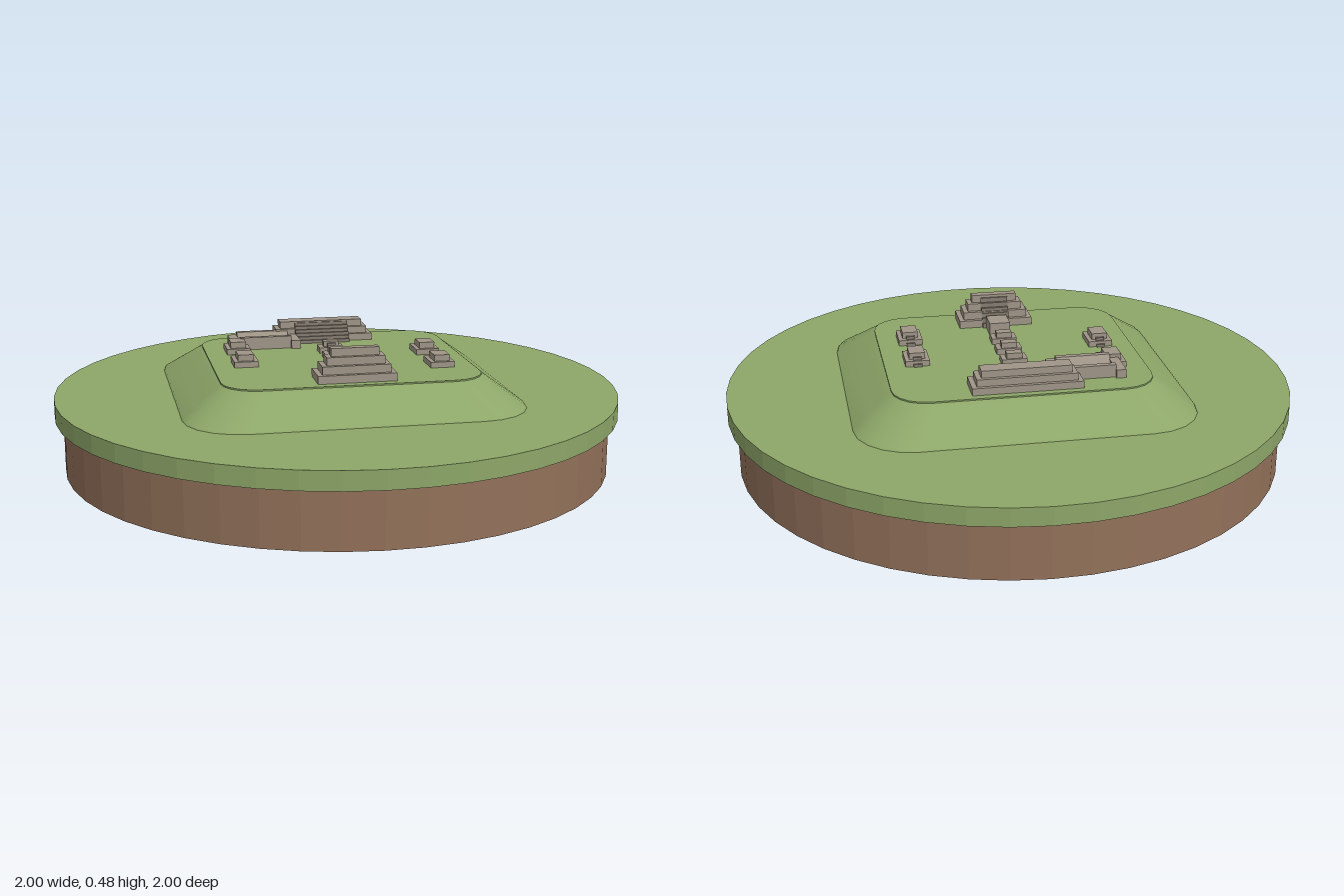
import * as THREE from 'three';

const material = (name, color) => Object.assign(new THREE.MeshStandardMaterial({ color }), { name });

export function createModel() {
  const grass = material('grass', 0x8da668);
  const earth = material('earth', 0x92715a);
  const stone = material('stone', 0x9f9587);
  const stairStone = material('stair stone', 0x857c70);

  const model = new THREE.Group();
  model.name = 'ruinsIsland';

  const add = (parent, geometry, mat, name, x = 0, y = 0, z = 0) => {
    const mesh = new THREE.Mesh(geometry, mat);
    mesh.name = name;
    mesh.position.set(x, y, z);
    parent.add(mesh);
    return mesh;
  };
  // Box given by its centre in plan and its bottom height
  const block = (parent, name, x, y, z, w, h, d, mat = stone) =>
    add(parent, new THREE.BoxGeometry(w, h, d), mat, name, x, y + h / 2, z);

  // Round island: faceted earth drum and wider grass slab
  const drum = (r, h) => {
    const g = new THREE.CylinderGeometry(r, r, h, 48).toNonIndexed();
    g.computeVertexNormals();
    return g;
  };
  add(model, drum(0.97, 0.2), earth, 'earthBase', 0, 0.1, 0);
  add(model, drum(1, 0.065), grass, 'grassSlab', 0, 0.2325, 0);

  // Everything on the plateau is turned 20 degrees
  const site = new THREE.Group();
  site.name = 'plateau';
  site.rotation.y = -THREE.MathUtils.degToRad(20);
  model.add(site);

  // Rounded rectangle as a loop of points
  const SEG = 5;
  const loop = (hx, hz, r) => {
    const pts = [];
    for (let q = 0; q < 4; q++) {
      const sx = q === 0 || q === 3 ? 1 : -1, sz = q < 2 ? 1 : -1;
      for (let i = 0; i <= SEG; i++) {
        const a = (q + i / SEG) * Math.PI / 2;
        pts.push([sx * (hx - r) + r * Math.cos(a), sz * (hz - r) + r * Math.sin(a)]);
      }
    }
    return pts;
  };
  // Smooth sloping wall through stacked loops [halfX, halfZ, radius, y]
  const wall = (rows) => {
    const pos = [], idx = [], n = 4 * (SEG + 1);
    rows.forEach(([hx, hz, r, y]) => loop(hx, hz, r).forEach(([x, z]) => pos.push(x, y, z)));
    for (let i = 0; i < rows.length - 1; i++) {
      for (let j = 0; j < n; j++) {
        const k = (j + 1) % n, a = i * n + j, b = i * n + k;
        idx.push(a, a + n, b, b, a + n, b + n);
      }
    }
    const g = new THREE.BufferGeometry();
    g.setAttribute('position', new THREE.Float32BufferAttribute(pos, 3));
    g.setIndex(idx);
    g.computeVertexNormals();
    return g;
  };
  const cap = (hx, hz, r) => {
    const shape = new THREE.Shape(loop(hx, hz, r).map(([x, z]) => new THREE.Vector2(x, -z)));
    return new THREE.ShapeGeometry(shape).rotateX(-Math.PI / 2);
  };
  add(site, wall([
    [0.59, 0.56, 0.2, 0.26], [0.585, 0.555, 0.2, 0.272], [0.525, 0.49, 0.17, 0.315],
    [0.47, 0.43, 0.135, 0.354], [0.45, 0.405, 0.12, 0.365],
  ]), grass, 'hillSlope');
  add(site, wall([[0.45, 0.405, 0.12, 0.365], [0.45, 0.405, 0.12, 0.37]]), grass, 'hillRim');
  add(site, cap(0.45, 0.405, 0.12), grass, 'hillTop', 0, 0.37, 0);

  const Y = 0.37;
  const building = (name, x, z) => {
    const g = new THREE.Group();
    g.name = name;
    g.position.set(x, Y, z);
    site.add(g);
    return g;
  };
  // Stepped tiers shrinking evenly upwards
  const tiers = (g, w, d, n, h, dw, dd) => {
    for (let i = 0; i < n; i++) block(g, 'tier', 0, i * h, 0, w - i * dw, h, d - i * dd);
  };
  // Flight rising from z0 (low end) to z1 (high end)
  const stairs = (g, w, z0, z1, rise, n) => {
    const run = (z1 - z0) / n;
    for (let i = 0; i < n; i++) {
      block(g, 'stair', 0, 0, z0 + (i + 0.5) * run, w, rise * (i + 1) / n, Math.abs(run), stairStone);
    }
  };

  // Tall temple with a flight towards the plaza and a shrine at its foot
  const temple = building('temple', 0, 0.314);
  tiers(temple, 0.27, 0.12, 4, 0.0275, 0.035, 0.03);
  stairs(temple, 0.1, -0.07, -0.012, 0.1, 6);
  block(temple, 'shrine', 0, 0, -0.107, 0.075, 0.045, 0.085);

  // Long palace facing it
  const palace = building('palace', 0, -0.325);
  tiers(palace, 0.38, 0.11, 3, 0.025, 0.035, 0.027);
  stairs(palace, 0.2, 0.078, 0.025, 0.07, 6);

  // Row of small altars along the plaza axis
  for (const z of [-0.1, 0.003, 0.105]) {
    const altar = building('altar', 0, z);
    block(altar, 'altarBase', 0, 0, -0.005, 0.09, 0.02, 0.055);
    block(altar, 'altarTop', 0, 0.02, -0.01, 0.055, 0.02, 0.032);
    stairs(altar, 0.03, 0.036, 0.004, 0.034, 3);
  }

  // Houses on the flanks
  for (const [x, z] of [[-0.335, -0.17], [-0.335, 0.036], [0.335, -0.036], [0.335, 0.169]]) {
    const house = building('house', x, z);
    block(house, 'houseBase', 0, 0, 0, 0.085, 0.02, 0.105);
    block(house, 'houseTop', 0, 0.02, 0.003, 0.055, 0.022, 0.07);
    stairs(house, 0.03, -0.06, -0.036, 0.03, 3);
  }

  // Ball court: end walls and two benches sloping inwards
  const court = building('ballCourt', -0.225, -0.245);
  for (const s of [-1, 1]) {
    block(court, 'endWall', s * 0.11, 0, 0, 0.034, 0.03, 0.145);
    const profile = new THREE.Shape([[0.06, 0], [0.06, 0.045], [0.04, 0.045], [0.012, 0.008], [0.012, 0]]
      .map(([z, y]) => new THREE.Vector2(z, y)));
    const bench = new THREE.ExtrudeGeometry(profile, { depth: 0.19, bevelEnabled: false });
    bench.translate(0, 0, -0.095).rotateY(s * Math.PI / 2);
    add(court, bench, stone, 'slopedBench');
  }
  return model;
}
